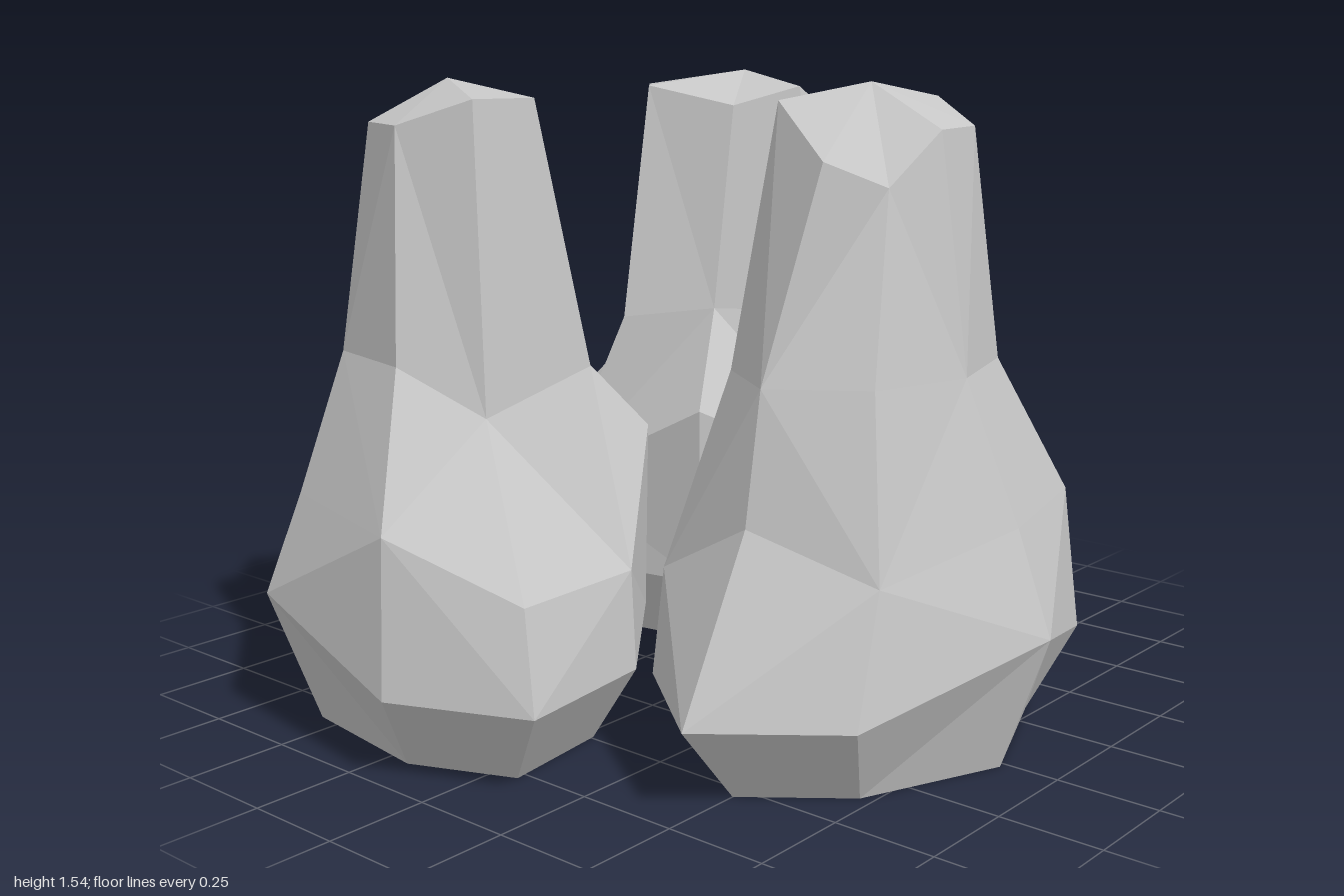
import * as THREE from 'three';

// Eight-sided cross-sections [x, y, z], bottom to top, each starting at the front and turning towards +x
const foot = [
  [0, 0.33, 0.48], [0.47, 0.2, 0.29], [0.69, 0.2, 0], [0.46, 0.2, -0.3],
  [0, 0.2, -0.47], [-0.46, 0.2, -0.29], [-0.69, 0.2, 0], [-0.46, 0.2, 0.29],
];
const base = foot.map(([x, , z]) => [x * 0.755, 0, z * 0.755]);
const shoulder = [
  [0, 0.57, 0.39], [0.42, 0.56, 0.27], [0.62, 0.43, 0], [0.43, 0.43, -0.3],
  [0, 0.67, -0.48], [-0.43, 0.45, -0.28], [-0.48, 0.6, 0], [-0.36, 0.49, 0.27],
];
const waist = [
  [-0.04, 0.9, 0.27], [0.22, 0.9, 0.19], [0.29, 0.78, 0], [0.25, 0.88, -0.26],
  [0, 0.91, -0.26], [-0.3, 0.9, -0.19], [-0.43, 0.9, 0], [-0.29, 0.9, 0.2],
];
const crown = [
  [-0.04, 1.44, 0.19], [0.14, 1.44, 0.16], [0.23, 1.5, 0], [0.2, 1.5, -0.15],
  [-0.04, 1.45, -0.19], [-0.21, 1.5, -0.13], [-0.31, 1.38, 0.07], [-0.18, 1.32, 0.15],
];

// Joins the cross-sections into one closed, faceted rock
function rockGeometry() {
  const rings = [base, foot, shoulder, waist, crown];
  const n = 8;
  const pos = [];
  const tri = (...corners) => corners.forEach((p) => pos.push(...p));
  for (let r = 0; r < rings.length - 1; r++) {
    for (let i = 0; i < n; i++) {
      const j = (i + 1) % n;
      const a = rings[r][i], b = rings[r][j], c = rings[r + 1][j], d = rings[r + 1][i];
      // alternate the split so the facets mirror around each corner
      if ((i + r) % 2 === 1) { tri(a, b, c); tri(a, c, d); }
      else { tri(a, b, d); tri(b, c, d); }
    }
  }
  for (let i = 0; i < n; i++) {
    const j = (i + 1) % n;
    tri(crown[i], crown[j], [-0.04, 1.54, 0]);
    tri(base[j], base[i], [0, 0, 0]);
  }
  const g = new THREE.BufferGeometry();
  g.setAttribute('position', new THREE.Float32BufferAttribute(pos, 3));
  g.computeVertexNormals();
  return g;
}

export function createModel() {
  const group = new THREE.Group();
  group.name = 'rockPillars';
  const stone = new THREE.MeshStandardMaterial({ color: 0xc6c6c6 });
  stone.name = 'greyStone';
  stone.flatShading = true;
  const geometry = rockGeometry();

  // Three copies of the rock, each turned a third of a circle
  const places = [
    ['frontRock', -0.02, 0.5, 0],
    ['leftRock', 0.515, -0.385, 1],
    ['rightRock', -0.515, -0.385, -1],
  ];
  for (const [name, x, z, turn] of places) {
    const rock = new THREE.Mesh(geometry, stone);
    rock.name = name;
    rock.position.set(x, 0, z);
    rock.rotation.y = (turn * Math.PI * 2) / 3;
    group.add(rock);
  }
  return group;
}
